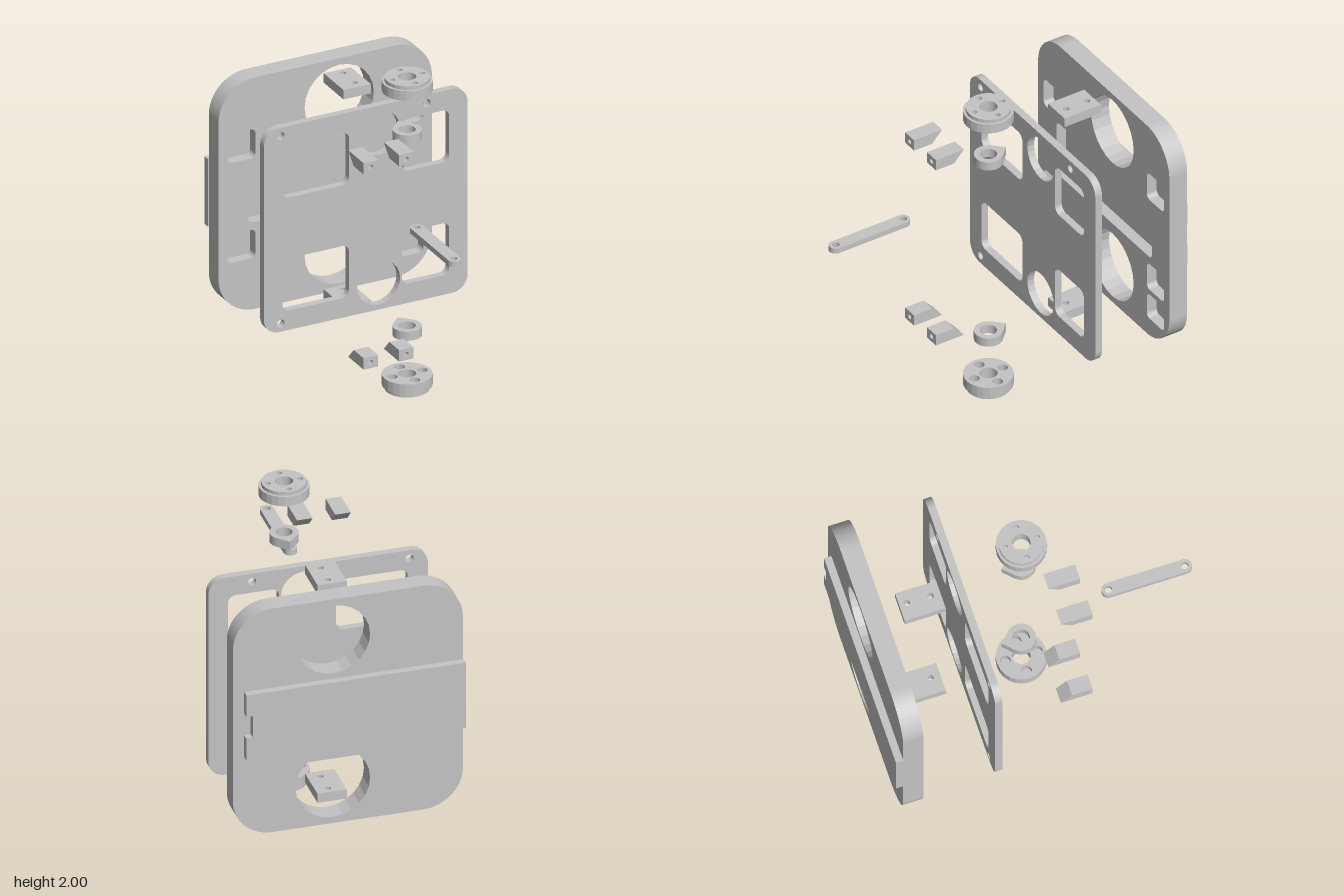
import * as THREE from 'three';

const CX = 0.0925, CZ = 0.023; // shared axis of caps, cams and round openings

// rounded rectangle outline from its corners
function rect(Type, x0, y0, x1, y1, r) {
  const p = new Type();
  if (!r) {
    p.moveTo(x0, y0); p.lineTo(x1, y0); p.lineTo(x1, y1); p.lineTo(x0, y1); p.closePath();
    return p;
  }
  const q = Math.PI / 2;
  p.moveTo(x0 + r, y0);
  p.lineTo(x1 - r, y0); p.absarc(x1 - r, y0 + r, r, -q, 0);
  p.lineTo(x1, y1 - r); p.absarc(x1 - r, y1 - r, r, 0, q);
  p.lineTo(x0 + r, y1); p.absarc(x0 + r, y1 - r, r, q, 2 * q);
  p.lineTo(x0, y0 + r); p.absarc(x0 + r, y0 + r, r, 2 * q, 3 * q);
  return p;
}

function circle(Type, x, y, r) {
  const p = new Type();
  p.absarc(x, y, r, 0, Math.PI * 2);
  return p;
}
const hole = (x, y, r) => circle(THREE.Path, x, y, r);
const slot = (x0, y0, x1, y1, r) => rect(THREE.Path, x0, y0, x1, y1, r);

// extrude an XY outline between two z planes
function slabZ(shape, holes, z0, z1) {
  shape.holes.push(...holes);
  const g = new THREE.ExtrudeGeometry(shape, { depth: z1 - z0, bevelEnabled: false, curveSegments: 12 });
  return g.translate(0, 0, z0);
}

// extrude an outline drawn in (x, -z) between two heights
function slabY(shape, holes, y0, y1) {
  return slabZ(shape, holes, y0, y1).rotateX(-Math.PI / 2);
}

export function createModel() {
  const root = new THREE.Group();
  root.name = 'explodedLockAssembly';
  const grey = new THREE.MeshStandardMaterial({ color: 0xc4c4c4 });
  grey.name = 'machinedGrey';

  const add = (name, geometry, parent = root) => {
    const m = new THREE.Mesh(geometry, grey);
    m.name = name;
    parent.add(m);
  };
  const group = (name) => {
    const g = new THREE.Group();
    g.name = name;
    root.add(g);
    return g;
  };

  // housing: pocketed front layer, closed back layer, notched rear rail
  const housing = group('housing');
  const outline = () => rect(THREE.Shape, -0.692, 0.259, 0.695, 1.747, 0.24);
  const bores = () => [hole(CX, 1.48, 0.225), hole(CX, 0.525, 0.225)];
  const pockets = [
    slot(-0.635, 1.23, -0.453, 1.417, 0.03), slot(0.457, 1.23, 0.64, 1.417, 0.03),
    slot(-0.635, 0.587, -0.453, 0.772, 0.03), slot(0.457, 0.587, 0.64, 0.772, 0.03),
    slot(0.457, 0.38, 0.64, 0.553, 0.03), slot(-0.5, 0.82, 0.51, 1.19, 0.03),
  ];
  add('housingFront', slabZ(outline(), [...bores(), ...pockets], -0.9, -0.832), housing);
  add('housingBack', slabZ(outline(), bores(), -0.955, -0.9), housing);
  const rail = new THREE.Shape([
    [-0.697, 0.787], [0.628, 0.787], [0.628, 0.932], [0.588, 0.932],
    [0.588, 1.077], [0.628, 1.077], [0.628, 1.22], [-0.697, 1.22],
  ].map(([x, y]) => new THREE.Vector2(x, y)));
  add('rearRail', slabZ(rail, [], -1, -0.955), housing);

  // cover plate with four windows, two round openings and three screw holes
  const openings = [hole(-0.543, 1.602, 0.025), hole(0.407, 1.602, 0.025), hole(-0.543, 0.398, 0.025)];
  for (const [y0, y1, yc] of [[1.196, 1.531, 1.481], [0.471, 0.806, 0.519]]) {
    openings.push(slot(-0.532, y0, -0.1, y1, 0.045), slot(0.245, y0, 0.552, y1, 0.045), hole(CX, yc, 0.14));
  }
  add('coverPlate', slabZ(rect(THREE.Shape, -0.654, 0.346, 0.671, 1.656, 0.1), openings, -0.383, -0.337));

  // caps: inner step with counterbores, closed web, thin outer step with small holes
  const capHoles = (r) => [0, 1, 2, 3].map((i) =>
    hole(CX + 0.097 * Math.cos(i * Math.PI / 2), -CZ + 0.097 * Math.sin(i * Math.PI / 2), r));
  const disc = (r, holes, y0, y1) =>
    slabY(circle(THREE.Shape, CX, -CZ, r), [hole(CX, -CZ, 0.053), ...holes], y0, y1);
  const topCap = group('topCap');
  add('topCapInner', disc(0.148, capHoles(0.031), 1.915, 1.955), topCap);
  add('topCapRim', disc(0.148, [], 1.955, 1.977), topCap);
  add('topCapOuter', disc(0.132, capHoles(0.017), 1.977, 2), topCap);
  const bottomCap = group('bottomCap');
  add('bottomCapInner', disc(0.148, capHoles(0.031), 0.045, 0.092), bottomCap);
  add('bottomCapRim', disc(0.148, [], 0.026, 0.045), bottomCap);
  add('bottomCapOuter', disc(0.132, capHoles(0.017), 0, 0.026), bottomCap);

  // teardrop cams, point toward the back
  for (const [name, y0] of [['upperCam', 1.603], ['lowerCam', 0.342]]) {
    const r = 0.085, s = new THREE.Shape();
    s.moveTo(CX, -CZ + r * Math.SQRT2);
    s.lineTo(CX - r * Math.SQRT1_2, -CZ + r * Math.SQRT1_2);
    s.absarc(CX, -CZ, r, Math.PI * 0.75, Math.PI * 2.25);
    s.closePath();
    add(name, slabY(s, [hole(CX, -CZ, 0.05)], y0, y0 + 0.058));
  }

  // bolts: drilled front block and a solid wedge, sloped toward the outer plate edge
  const h = 0.073;
  for (const [level, y0, slopeUp] of [['upper', 1.592, false], ['lower', 0.338, true]]) {
    for (const [side, x] of [['Outer', -0.294], ['Inner', -0.063]]) {
      const bolt = group(level + side + 'Bolt');
      const face = () => rect(THREE.Shape, x - 0.047, y0, x + 0.047, y0 + h);
      add('boltBlock', slabZ(face(), [hole(x, y0 + h / 2, 0.015)], 0.19, 0.314), bolt);
      const wedge = slabZ(face(), [], 0.121, 0.19);
      const p = wedge.attributes.position;
      for (let i = 0; i < p.count; i++) {
        const t = (p.getY(i) - y0) / h;
        if (p.getZ(i) < 0.15) p.setZ(i, 0.121 + (slopeUp ? t : 1 - t) * 0.068);
      }
      wedge.computeVertexNormals();
      add('boltWedge', wedge, bolt);
    }
  }

  // mounting blocks with two vertical holes
  for (const [name, y0] of [['upperBlock', 1.665], ['lowerBlock', 0.277]]) {
    add(name, slabY(rect(THREE.Shape, -0.058, 0.486, 0.119, 0.736),
      [hole(0.043, 0.69, 0.018), hole(0.043, 0.546, 0.018)], y0, y0 + 0.06));
  }

  // link arm with rounded ends
  add('linkArm', slabY(rect(THREE.Shape, -0.127, -1, -0.047, -0.453, 0.0399),
    [hole(-0.087, -0.493, 0.022), hole(-0.087, -0.958, 0.022)], 1.24, 1.275));

  return root;
}
